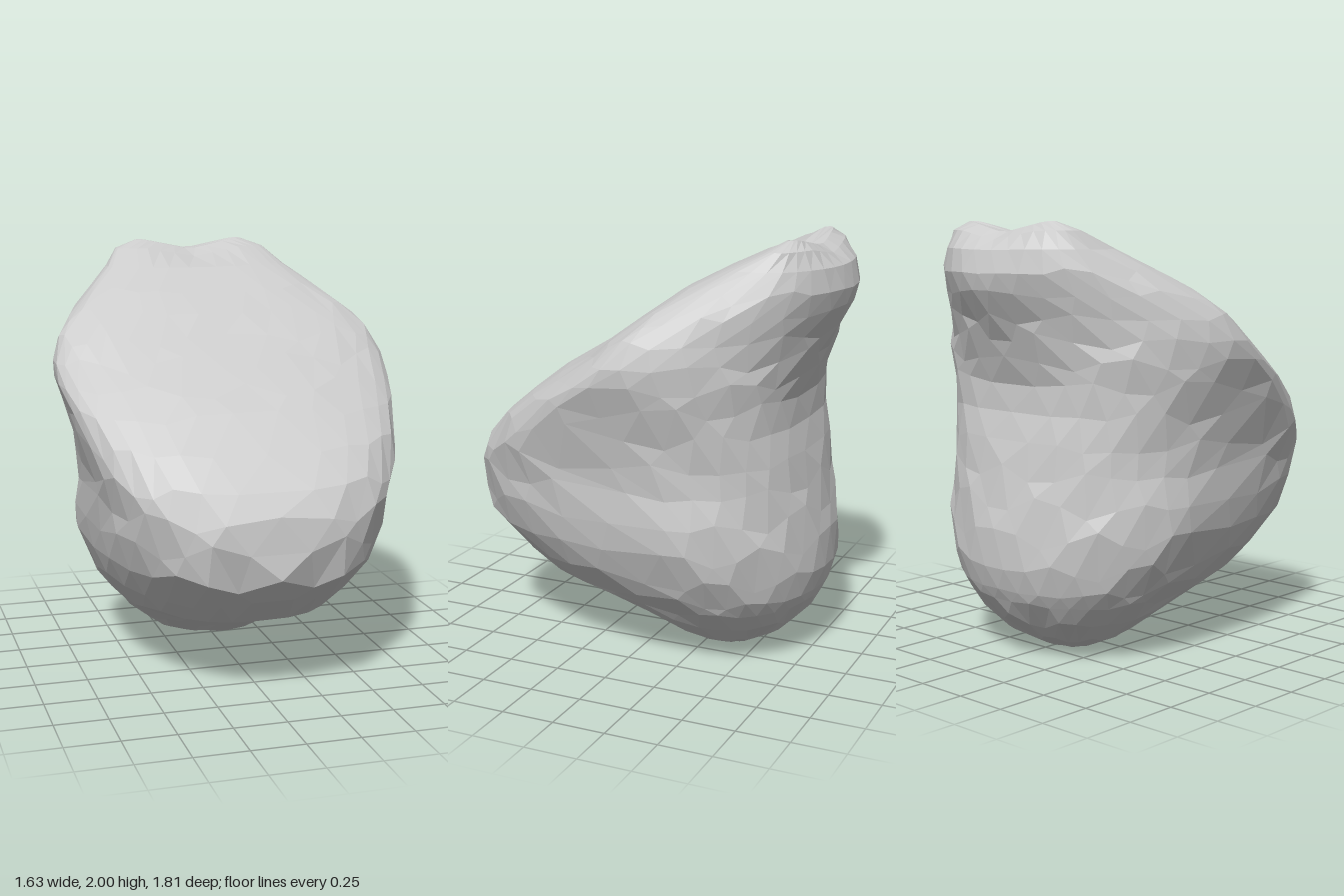
import * as THREE from 'three';

// Horizontal sections: [y, half width, z of widest point, front z, back z, front roundness, back roundness]
const SECTIONS = [
  [0.01, 0.15, -0.37, -0.28, -0.46, 2, 2],
  [0.07, 0.29, -0.35, -0.05, -0.59, 2, 2],
  [0.18, 0.42, -0.33, 0.16, -0.71, 2.1, 2.1],
  [0.28, 0.51, -0.32, 0.38, -0.77, 2.3, 2.1],
  [0.34, 0.56, -0.3, 0.62, -0.8, 2.3, 2.1],
  [0.45, 0.63, -0.28, 0.74, -0.83, 2.4, 2],
  [0.6, 0.685, -0.26, 0.91, -0.825, 2.5, 2],
  [0.74, 0.7, -0.22, 0.9, -0.8, 2.9, 2],
  [0.88, 0.69, -0.1, 0.89, -0.77, 3.2, 2.3],
  [1.0, 0.71, 0.15, 0.82, -0.74, 3.3, 2.8],
  [1.15, 0.745, 0.2, 0.68, -0.705, 3, 2.9],
  [1.28, 0.785, 0.15, 0.53, -0.7, 2.4, 2.7],
  [1.38, 0.815, 0.04, 0.41, -0.735, 2, 2.3],
  [1.48, 0.82, -0.06, 0.22, -0.775, 2, 1.9],
  [1.58, 0.785, -0.14, 0.06, -0.825, 2.4, 1.75],
  [1.68, 0.705, -0.24, -0.08, -0.88, 2.5, 1.75],
  [1.78, 0.58, -0.38, -0.21, -0.905, 2.5, 1.95],
  [1.88, 0.46, -0.54, -0.4, -0.87, 2.5, 2.2],
  [1.96, 0.39, -0.66, -0.57, -0.8, 2.4, 2.2],
  [2.0, 0.28, -0.69, -0.65, -0.74, 2, 2],
];
const SEGMENTS = 32;
const LAST = SECTIONS.length - 1;

// Mirrored unevenness that gives the facets their chipped look
const wave = (row, k) => Math.sin(row * 5.3 + k * 7.7) * Math.cos(row * 2.1 - k * 3.4);

// Section values at a fractional row
function sectionAt(row) {
  const r = Math.min(Math.floor(row), LAST - 1);
  return SECTIONS[r].map((v, k) => THREE.MathUtils.lerp(v, SECTIONS[r + 1][k], row - r));
}

function sectionPoint(row, i) {
  // Odd rows are turned by half a step so the facets interlock
  const step = i + (row % 2) / 2;
  const chip = wave(row, Math.min(step, SEGMENTS - step));
  const inner = row > 0 && row < LAST - 2;
  const [y, w, zw, zf, zb, nf, nb] = sectionAt(row + (inner ? 0.35 * chip : 0));
  const a = (step / SEGMENTS) * Math.PI * 2;
  const s = Math.sin(a), c = Math.cos(a);
  const front = c >= 0;
  const p = 2 / (front ? nf : nb);
  // Less chipping on the smooth sloping front and the thin crest
  const d = chip * (y > 1.8 || (front && y > 1) ? 0.002 : 0.008);
  const x = Math.sign(s) * w * Math.abs(s) ** p + s * d;
  let z = zw + ((front ? zf : zb) - zw) * Math.abs(c) ** p + c * d;
  // Shallow relief in the middle of the sloping front
  if (front && y > 1.3 && y < 1.85) z += 0.015 * Math.cos((y - 1.7) * 30) * Math.exp(-((x / 0.2) ** 2));
  // Dip between the two rounded top corners
  const dip = THREE.MathUtils.smoothstep(y, 1.85, 2) * 0.05 * Math.max(0, 1 - Math.abs(x) / 0.24);
  return [x, y - dip, z];
}

function createBoulderGeometry() {
  const positions = [];
  const indices = [];
  for (let r = 0; r <= LAST; r++) {
    for (let i = 0; i < SEGMENTS; i++) positions.push(...sectionPoint(r, i));
  }
  for (let r = 0; r < LAST; r++) {
    for (let i = 0; i < SEGMENTS; i++) {
      const j = (i + 1) % SEGMENTS;
      const a = r * SEGMENTS + i, b = r * SEGMENTS + j;
      const c = a + SEGMENTS, d = b + SEGMENTS;
      if (r % 2) indices.push(a, b, d, a, d, c);
      else indices.push(a, b, c, b, d, c);
    }
  }
  // Close the underside and the crest
  const bottom = positions.length / 3;
  positions.push(0, 0, -0.37, 0, 1.95, -0.69);
  for (let i = 0; i < SEGMENTS; i++) {
    const j = (i + 1) % SEGMENTS;
    indices.push(bottom, j, i, bottom + 1, LAST * SEGMENTS + i, LAST * SEGMENTS + j);
  }
  const geometry = new THREE.BufferGeometry();
  geometry.setAttribute('position', new THREE.Float32BufferAttribute(positions, 3));
  geometry.setIndex(indices);
  geometry.computeVertexNormals();
  return geometry;
}

export function createModel() {
  const group = new THREE.Group();
  group.name = 'boulder';
  const material = new THREE.MeshStandardMaterial({ color: 0xcccccc, flatShading: true });
  const body = new THREE.Mesh(createBoulderGeometry(), material);
  body.name = 'boulderBody';
  group.add(body);
  return group;
}
